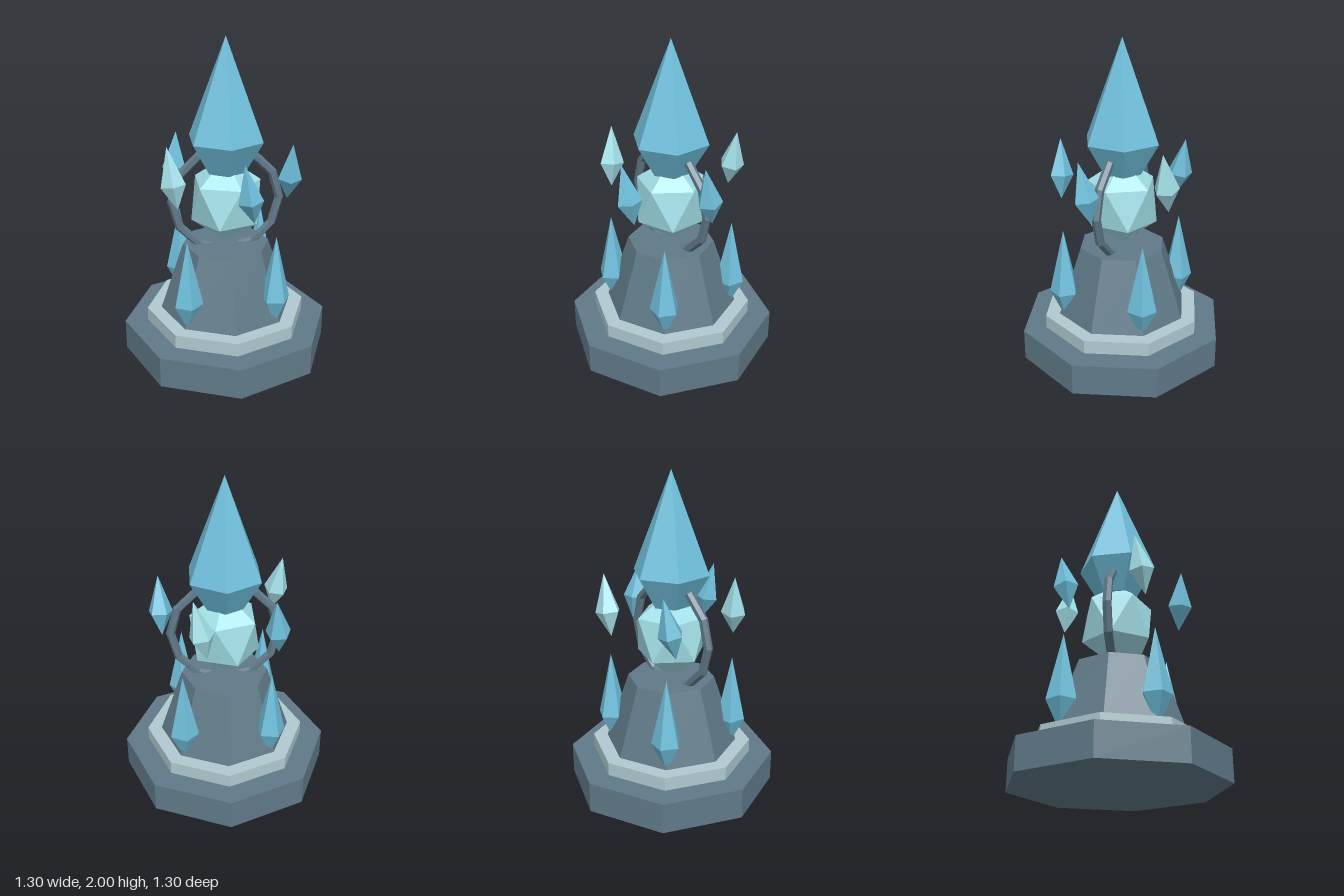
import * as THREE from 'three';
import { ConvexGeometry } from 'three/addons/geometries/ConvexGeometry.js';

const mat = (color, side = THREE.FrontSide) => new THREE.MeshStandardMaterial({ color, flatShading: true, side });
const STONE = mat(0x607a88);
const TRIM = mat(0xb0cacf);
const CRYSTAL = mat(0x6fc0dc);
const PALE = mat(0xa4e2ea);

function add(parent, name, geometry, material, x = 0, y = 0, z = 0) {
  const mesh = new THREE.Mesh(geometry, material);
  mesh.name = name;
  mesh.position.set(x, y, z);
  parent.add(mesh);
  return mesh;
}

// Octagonal tier standing between two heights
function tier(parent, name, rTop, rBottom, y0, y1, material) {
  return add(parent, name, new THREE.CylinderGeometry(rTop, rBottom, y1 - y0, 8), material, 0, (y0 + y1) / 2, 0);
}

// Faceted gem from a [radius, height] profile, bottom to top
function gem(sides, profile) {
  return new THREE.LatheGeometry(profile.map(([r, y]) => new THREE.Vector2(r, y)), sides);
}

// Icosahedron standing on a vertex, stretched vertically
function core(r, stretch) {
  const h = r * stretch;
  const points = [new THREE.Vector3(0, h, 0), new THREE.Vector3(0, -h, 0)];
  for (let i = 0; i < 5; i++) {
    const a = (i / 5) * Math.PI * 2;
    const x = Math.cos(a) * r * 0.894;
    const z = Math.sin(a) * r * 0.894;
    points.push(new THREE.Vector3(x, h * 0.447, z), new THREE.Vector3(-x, -h * 0.447, z));
  }
  return new ConvexGeometry(points);
}

export function createModel() {
  const model = new THREE.Group();
  model.name = 'crystalShrine';

  // Stepped stone base
  tier(model, 'base', 0.65, 0.65, 0, 0.195, STONE);
  tier(model, 'trim', 0.505, 0.505, 0.195, 0.28, TRIM);
  tier(model, 'pedestal', 0.27, 0.415, 0.28, 0.715, STONE);

  // Ring cradling the glowing core, with the great crystal above
  add(model, 'ring', new THREE.TorusGeometry(0.332, 0.028, 6, 12), STONE, 0, 1, 0);
  add(model, 'core', core(0.24, 1.15), PALE, 0, 1, 0);
  add(model, 'mainCrystal', gem(6, [[0, 1.19], [0.125, 1.19], [0.24, 1.39], [0, 2]]), CRYSTAL);

  // Four shards growing from the trim around the pedestal
  const baseShard = gem(5, [[0, 0.25], [0.092, 0.44], [0, 0.85]]);
  for (let i = 0; i < 4; i++) {
    const a = Math.PI / 4 + (i * Math.PI) / 2;
    const shard = add(model, 'baseShard', baseShard, CRYSTAL, Math.cos(a) * 0.378, 0, Math.sin(a) * 0.378);
    shard.rotation.y = -a;
  }

  // Five leaning shards floating round the core, alternating in height
  const floatingShard = gem(5, [[0, -0.15], [0.077, 0], [0, 0.228]]);
  for (let i = 0; i < 5; i++) {
    const raised = i === 2 || i === 4;
    const arm = new THREE.Group();
    arm.name = 'floatingShardArm';
    arm.rotation.y = -((i / 5) * Math.PI * 2 + 0.085);
    const shard = add(arm, 'floatingShard', floatingShard, raised ? PALE : CRYSTAL, 0.39, raised ? 1.185 : 1.135, 0);
    shard.rotation.set(0.19, 0, -0.05);
    model.add(arm);
  }

  return model;
}
